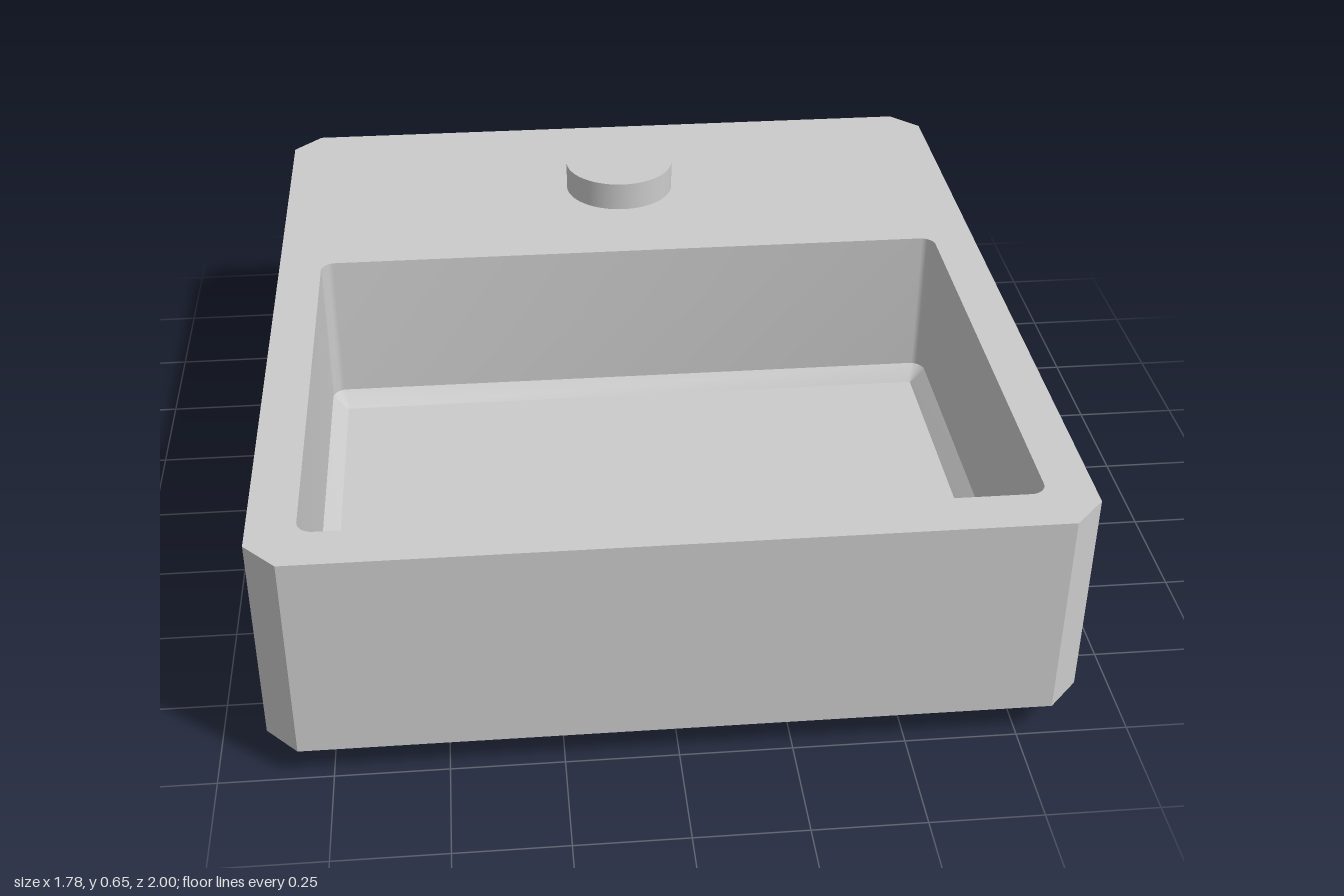
import * as THREE from 'three';
import { mergeGeometries, toCreasedNormals } from 'three/addons/utils/BufferGeometryUtils.js';

const BOTTOM = 0.077, TOP = 0.575;           // body shell
const NOTCH = { hx: 0.285, z: -0.6, r: 0.15, top: 0.412 };
const AXLE = { y: 0.18, z: -0.677, r: 0.014 };
const POCKET = { r: 0.255, x0: 0.493, x1: 0.79 };
const FOOT = { x: 0.605, z: 0.713, bore: 0.074 };

const solid = new THREE.MeshStandardMaterial({ color: 0xcccccc });
const lining = new THREE.MeshStandardMaterial({ color: 0xcccccc, side: THREE.DoubleSide });

const V2 = (x, y) => new THREE.Vector2(x, y);
const circle = (x, y, r, n = 48) =>
  Array.from({ length: n }, (_, i) => V2(x + r * Math.cos(i / n * 2 * Math.PI), y + r * Math.sin(i / n * 2 * Math.PI)));
const atHeight = (pts, y) => pts.map(p => new THREE.Vector3(p.x, y, p.y));

function flat(points, holes = []) {
  const shape = new THREE.Shape(points);
  shape.holes = holes.map(h => new THREE.Path(h));
  return new THREE.ShapeGeometry(shape);
}

// Horizontal face from plan points (x, z)
function cap(points, y, up, holes = []) {
  const s = up ? -1 : 1;
  const flip = list => list.map(p => V2(p.x, s * p.y));
  return flat(flip(points), holes.map(flip)).rotateX(s * Math.PI / 2).translate(0, y, 0);
}

// Upright panel from plan point p to q, optionally drilled for the axle
function panel(p, q, y0, y1, drilled = false) {
  const w = p.distanceTo(q);
  const holes = drilled ? [circle((AXLE.z - p.y) / (q.y - p.y) * w, AXLE.y, AXLE.r, 16)] : [];
  const g = flat([V2(0, y0), V2(w, y0), V2(w, y1), V2(0, y1)], holes);
  const dir = new THREE.Vector3(q.x - p.x, 0, q.y - p.y).normalize();
  const up = new THREE.Vector3(0, 1, 0);
  const m = new THREE.Matrix4().makeBasis(dir, up, dir.clone().cross(up)).setPosition(p.x, 0, p.y);
  return g.applyMatrix4(m);
}

// Skin between successive rows of 3D points
function loft(rows, closed) {
  const n = rows[0].length, pos = [], uv = [], index = [];
  rows.forEach(row => row.forEach(p => { pos.push(p.x, p.y, p.z); uv.push(0, 0); }));
  for (let r = 0; r + 1 < rows.length; r++)
    for (let i = 0; i < (closed ? n : n - 1); i++) {
      const a = r * n + i, b = r * n + (i + 1) % n;
      index.push(a, b, a + n, b, b + n, a + n);
    }
  const g = new THREE.BufferGeometry();
  g.setAttribute('position', new THREE.Float32BufferAttribute(pos, 3));
  g.setAttribute('uv', new THREE.Float32BufferAttribute(uv, 2));
  g.setIndex(index);
  g.computeVertexNormals();
  return g;
}

function mesh(name, parts, material = solid) {
  const g = mergeGeometries(parts.map(p => p.index ? p.toNonIndexed() : p));
  const m = new THREE.Mesh(toCreasedNormals(g, 0.5), material);
  m.name = name;
  return m;
}

// Plan of a rounded rectangle
function roundedRect(hx, z0, z1, r) {
  const pts = [];
  [[hx - r, z1 - r], [r - hx, z1 - r], [r - hx, z0 + r], [hx - r, z0 + r]].forEach(([x, z], k) => {
    for (let i = 0; i <= 8; i++) {
      const a = (k + i / 8) * Math.PI / 2;
      pts.push(V2(x + r * Math.cos(a), z + r * Math.sin(a)));
    }
  });
  return pts;
}

function createBody() {
  const body = new THREE.Group();
  body.name = 'body';

  // Plan outlines: chamfered block, and the round-cornered notch in its back
  const block = [V2(-0.892, 0.928), V2(-0.822, 1), V2(0.822, 1), V2(0.892, 0.928),
    V2(0.892, -0.928), V2(0.822, -1), V2(-0.822, -1), V2(-0.892, -0.928)];
  const notch = [V2(NOTCH.hx, -1)], steps = 5;
  for (let k = 0; k < 2; k++)
    for (let i = 0; i <= steps; i++) {
      const a = (k + i / steps) * Math.PI / 2;
      notch.push(V2((1 - 2 * k) * (NOTCH.hx - NOTCH.r) + NOTCH.r * Math.cos(a),
        NOTCH.z - NOTCH.r + NOTCH.r * Math.sin(a)));
    }
  notch.push(V2(-NOTCH.hx, -1));
  const rim = roundedRect(0.787, -0.252, 0.89, 0.035);

  // Outer walls, the right one drilled for the axle
  const walls = [];
  block.forEach((p, i) => {
    const q = block[(i + 1) % block.length];
    if (i === 5) {
      walls.push(panel(p, notch[0], BOTTOM, TOP), panel(notch[0], notch.at(-1), NOTCH.top, TOP),
        panel(notch.at(-1), q, BOTTOM, TOP));
    } else walls.push(panel(p, q, BOTTOM, TOP, i === 7));
  });
  body.add(mesh('outerWalls', walls));
  body.add(mesh('topFace', [cap(block, TOP, true, [rim])]));

  // Underside with openings for the wheel pockets and foot bores
  const half = Math.sqrt(POCKET.r ** 2 - (AXLE.y - BOTTOM) ** 2);
  const openings = [];
  for (const s of [-1, 1]) {
    openings.push([[POCKET.x0, -half], [POCKET.x1, -half], [POCKET.x1, half], [POCKET.x0, half]]
      .map(([x, z]) => V2(s * x, AXLE.z + z)));
    openings.push(circle(s * FOOT.x, FOOT.z, FOOT.bore));
  }
  const under = [...block.slice(0, 6), ...notch, ...block.slice(6)];
  body.add(mesh('underside', [cap(under, BOTTOM, false, openings)]));

  // Back notch: wall drilled for the axle in both rounded corners, and ceiling
  const notchWall = [];
  for (let i = 0; i + 1 < notch.length; i++)
    notchWall.push(panel(notch[i], notch[i + 1], BOTTOM, NOTCH.top, i === 2 || i === notch.length - 4));
  body.add(mesh('backNotch', [...notchWall, cap(notch, NOTCH.top, false)]));

  // Tray recess with a small bevel around its floor
  const floorY = 0.158, bevel = 0.037;
  const floor = roundedRect(0.787 - bevel, -0.252 + bevel, 0.89 - bevel, 0.003);
  body.add(mesh('trayRecess', [
    loft([atHeight(rim, TOP), atHeight(rim, floorY + bevel), atHeight(floor, floorY)], true),
    cap(floor, floorY, true)], lining));
  return body;
}

// Round wheel pocket open at the underside; the axle bore leaves the body on the right only
function createPocket(s) {
  const start = Math.asin((BOTTOM - AXLE.y) / POCKET.r);
  const arc = [];
  for (let i = 0; i <= 48; i++) {
    const a = start + i / 48 * (Math.PI - 2 * start);
    arc.push(V2(AXLE.z + POCKET.r * Math.cos(a), AXLE.y + POCKET.r * Math.sin(a)));
  }
  const hole = circle(-AXLE.z, AXLE.y, AXLE.r, 16);
  const plate = (x, holes) => flat(arc.map(p => V2(-p.x, p.y)), holes)
    .rotateY(Math.PI / 2).translate(s * x, 0, 0);
  const row = x => arc.map(p => new THREE.Vector3(s * x, p.y, p.x));
  const bore = (a, b) => new THREE.CylinderGeometry(AXLE.r, AXLE.r, b - a, 16, 1, true)
    .rotateZ(Math.PI / 2).translate(s * (a + b) / 2, AXLE.y, AXLE.z);
  const through = s < 0;
  const group = new THREE.Group();
  group.name = through ? 'rightWheelPocket' : 'leftWheelPocket';
  group.add(mesh('pocketLining', [loft([row(POCKET.x0), row(POCKET.x1)], false),
    plate(POCKET.x0, [hole]), plate(POCKET.x1, through ? [hole] : [])], lining));
  const bores = [bore(0.268, POCKET.x0)];
  if (through) bores.push(bore(POCKET.x1, 0.892));
  group.add(mesh('axleBore', bores, lining));
  return group;
}

// Tapered foot with a rounded-square plan and a round bore
function createFoot(s) {
  const ring = (h, r) => roundedRect(h, -h, h, r);
  const base = ring(0.105, 0.062), root = ring(0.178, 0.135);
  const bore = new THREE.LatheGeometry([V2(0, 0.14), V2(FOOT.bore, 0.14), V2(FOOT.bore, 0)], 48);
  const foot = mesh(s > 0 ? 'leftFoot' : 'rightFoot', [
    loft([atHeight(base, 0), atHeight(root, BOTTOM)], true),
    cap(base, 0, false, [circle(0, 0, FOOT.bore)]), bore], lining);
  foot.position.set(s * FOOT.x, 0, FOOT.z);
  return foot;
}

export function createModel() {
  const model = new THREE.Group();
  model.name = 'trayBase';
  model.add(createBody());

  const button = new THREE.CylinderGeometry(0.142, 0.142, 0.073, 64).translate(0, TOP + 0.0365, -0.626);
  model.add(mesh('button', [button]));

  for (const s of [-1, 1]) model.add(createFoot(s), createPocket(s));
  return model;
}
